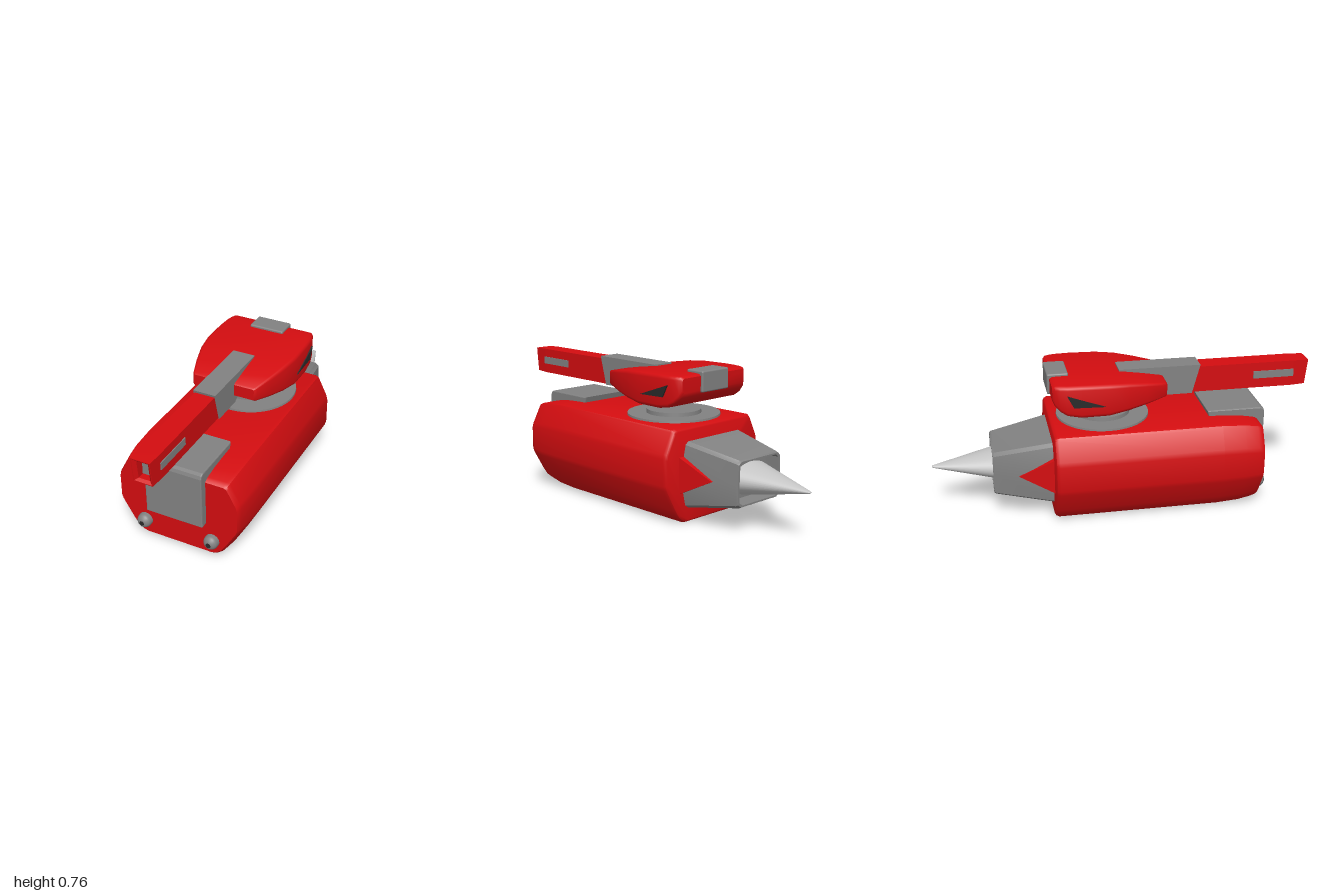
import * as THREE from 'three';
import { toCreasedNormals } from 'three/addons/utils/BufferGeometryUtils.js';
import { ConvexGeometry } from 'three/addons/geometries/ConvexGeometry.js';
import { RoundedBoxGeometry } from 'three/addons/geometries/RoundedBoxGeometry.js';

const material = (name, color) => {
  const m = new THREE.MeshStandardMaterial({ color });
  m.name = name;
  return m;
};

// Skin a list of rings (counterclockwise seen from +z) and cap both ends.
function loft(rings, crease = 0.6) {
  const n = rings[0].length, index = [];
  rings.slice(1).forEach((_, i) => {
    for (let j = 0; j < n; j++) {
      const a = i * n + j, b = i * n + (j + 1) % n;
      index.push(a, b, b + n, a, b + n, a + n);
    }
  });
  const last = (rings.length - 1) * n;
  for (let j = 1; j < n - 1; j++) {
    index.push(0, j + 1, j, last, last + j, last + j + 1);
  }
  const g = new THREE.BufferGeometry();
  g.setAttribute('position', new THREE.Float32BufferAttribute(rings.flat(2), 3));
  g.setIndex(index);
  return toCreasedNormals(g, crease);
}

// Mirror a right-hand outline (bottom to top) into a full ring.
const mirrorRing = (half, z) => [
  ...half.map(([x, y]) => [x, y, z]),
  ...half.slice().reverse().map(([x, y]) => [-x, y, z]),
];

// Rectangle with rounded corners.
function roundRing(hw, y0, y1, r, z) {
  const half = [];
  for (let i = 0; i <= 3; i++) {
    const a = -Math.PI / 2 + i * Math.PI / 6;
    half.push([hw - r + r * Math.cos(a), y0 + r + r * Math.sin(a)]);
  }
  for (let i = 0; i <= 3; i++) {
    const a = i * Math.PI / 6;
    half.push([hw - r + r * Math.cos(a), y1 - r + r * Math.sin(a)]);
  }
  return mirrorRing(half, z);
}

// Extrude a (z, y) outline across x.
function sideProfile(points, x0, x1, bevel = 0) {
  const shape = new THREE.Shape(points.map(([z, y]) => new THREE.Vector2(z, y)));
  const g = new THREE.ExtrudeGeometry(shape, {
    depth: x1 - x0 - 2 * bevel, bevelEnabled: bevel > 0, bevelSize: bevel,
    bevelThickness: bevel, bevelOffset: -bevel, bevelSegments: 2,
  });
  return g.rotateY(-Math.PI / 2).translate(x1 - bevel, 0, 0);
}

export function createModel() {
  const model = new THREE.Group();
  const red = material('red paint', 0xd40d10);
  const grey = material('grey metal', 0x828282);
  const pale = material('pale metal', 0xc4c4c4);
  const dark = material('dark glass', 0x2a2a2a);
  const add = (name, geometry, mat, x = 0, y = 0, z = 0) => {
    const mesh = new THREE.Mesh(geometry, mat);
    mesh.name = name;
    mesh.position.set(x, y, z);
    model.add(mesh);
    return mesh;
  };

  // Hull: one rounded octagonal outline, shrinking towards both ends
  const outline = [[0.19, 0], [0.215, 0.008], [0.245, 0.032], [0.272, 0.075], [0.333, 0.19], [0.34, 0.215],
    [0.34, 0.35], [0.334, 0.375], [0.285, 0.475], [0.278, 0.485], [0.262, 0.49]];
  const hullRing = ([z, sx, sy]) =>
    mirrorRing(outline.map(([x, y]) => [x * sx, 0.246 + (y - 0.246) * sy]), z);
  add('hull', loft([[-0.385, 0.955, 0.935], [-0.38, 0.98, 0.97], [-0.365, 1, 1], [0.48, 1, 1],
    [0.6, 0.99, 0.97], [0.67, 0.97, 0.92], [0.69, 0.96, 0.895], [0.7, 0.945, 0.86]].map(hullRing)), red);

  // Front plate folded over the deck
  add('frontPlate', sideProfile([[0.66, 0.21], [0.735, 0.205], [0.74, 0.21], [0.74, 0.495], [0.734, 0.512],
    [0.718, 0.52], [0.43, 0.52], [0.445, 0.47], [0.6, 0.45]], -0.155, 0.155, 0.006), grey);

  // Headlights
  const lampProfile = [[0.038, -0.02], [0.038, 0.018], [0.034, 0.03], [0.026, 0.039], [0.013, 0.045], [0, 0.045]]
    .map(([r, h]) => new THREE.Vector2(r, h));
  for (const side of [-1, 1]) {
    add('headlight', new THREE.LatheGeometry(lampProfile, 32).rotateX(Math.PI / 2), grey, side * 0.187, 0.113, 0.7);
    add('headlightCentre', new THREE.CylinderGeometry(0.013, 0.013, 0.006, 16).rotateX(Math.PI / 2),
      dark, side * 0.187, 0.113, 0.744);
  }

  // Hollow rear housing, from its inner floor round the rim to the hull
  const housingRing = (z, top, mid, h) => mirrorRing([[top - 0.02, 0.25 - h], [top, 0.265 - h], [mid, 0.25],
    [top, 0.235 + h], [top - 0.02, 0.25 + h]], z);
  add('rearHousing', loft([
    housingRing(-0.61, 0.138, 0.14, 0.1), housingRing(-0.69, 0.142, 0.145, 0.105),
    housingRing(-0.69, 0.152, 0.156, 0.113), housingRing(-0.68, 0.156, 0.16, 0.118),
    housingRing(-0.37, 0.205, 0.24, 0.172)]), grey);
  for (const side of [-1, 1]) {
    const corners = [[0.25, -0.56, 0.2], [0.35, -0.38, 0.247], [0.16, -0.38, 0.247]];
    const points = corners.flatMap(([y, z, x]) =>
      [x, 0.15].map((d) => new THREE.Vector3(side * d, y, z)));
    add('rearSideWedge', new ConvexGeometry(points), red);
  }

  // Flattened rear spike with a rounded tip
  add('rearSpike', new THREE.CylinderGeometry(0.012, 0.138, 0.355, 40).rotateX(-Math.PI / 2), pale, 0, 0.25, -0.8125)
    .scale.y = 0.6;
  add('rearSpikeTip', new THREE.SphereGeometry(0.012, 20, 12), pale, 0, 0.25, -0.988).scale.y = 0.6;

  // Turret ring on the deck and the pads beneath the turret
  const disc = (name, r, y0, y1, mat) =>
    add(name, new THREE.CylinderGeometry(r - 0.003, r, y1 - y0, 48), mat, 0, (y0 + y1) / 2, -0.1);
  disc('turretRing', 0.245, 0.48, 0.5, grey);
  disc('turretBase', 0.145, 0.49, 0.52, grey);
  disc('turretLowerPad', 0.11, 0.569, 0.6, red);
  disc('turretPivot', 0.07, 0.562, 0.6, grey);

  // Turret shell
  add('turret', loft([
    [0.222, 0.66, 0.733, 0.014, -0.382], [0.235, 0.635, 0.742, 0.018, -0.37], [0.245, 0.608, 0.744, 0.02, -0.345],
    [0.252, 0.586, 0.744, 0.02, -0.31], [0.256, 0.573, 0.744, 0.02, -0.24], [0.256, 0.574, 0.741, 0.02, -0.1],
    [0.241, 0.589, 0.734, 0.018, 0], [0.213, 0.606, 0.719, 0.015, 0.1], [0.177, 0.626, 0.701, 0.01, 0.2],
    [0.168, 0.633, 0.694, 0.008, 0.21]].map((s) => roundRing(...s))), red);

  // Side windows
  const pane = [[-0.12, 0.63], [-0.28, 0.635], [-0.312, 0.698]];
  add('leftWindow', sideProfile(pane, 0.252, 0.261), dark);
  add('rightWindow', sideProfile(pane, -0.261, -0.252), dark);

  // Box at the back of the turret
  add('turretRearBox', new RoundedBoxGeometry(0.19, 0.107, 0.11, 2, 0.008), grey, 0, 0.7035, -0.34);

  // Barrel sleeve
  add('barrelSleeve', sideProfile([[-0.02, 0.743], [0.41, 0.743], [0.368, 0.588], [0.2, 0.588], [0.12, 0.64],
    [-0.02, 0.68]], -0.06, 0.06), grey);

  // Barrel with a slanted, recessed muzzle
  const barrelRing = (hw, y0, y1, z, slant = 0.1) => mirrorRing([[hw, y0], [hw, y1]], z)
    .map(([x, y, pz]) => [x, y, pz + (y - 0.73) * slant]);
  add('barrel', loft([
    barrelRing(0.054, 0.592, 0.73, 0.3), barrelRing(0.054, 0.592, 0.73, 0.92),
    barrelRing(0.05, 0.595, 0.728, 1), barrelRing(0.046, 0.599, 0.724, 1),
    barrelRing(0.03, 0.61, 0.708, 0.985), barrelRing(0.03, 0.61, 0.708, 0.93)], 0.05), red);
  add('muzzleBore', new THREE.BoxGeometry(0.06, 0.1, 0.008), grey, 0, 0.659, 0.934);
  for (const side of [-1, 1]) {
    add('barrelSlot', new THREE.BoxGeometry(0.008, 0.04, 0.22), grey, side * 0.0545, 0.664, 0.81);
  }

  return model;
}
